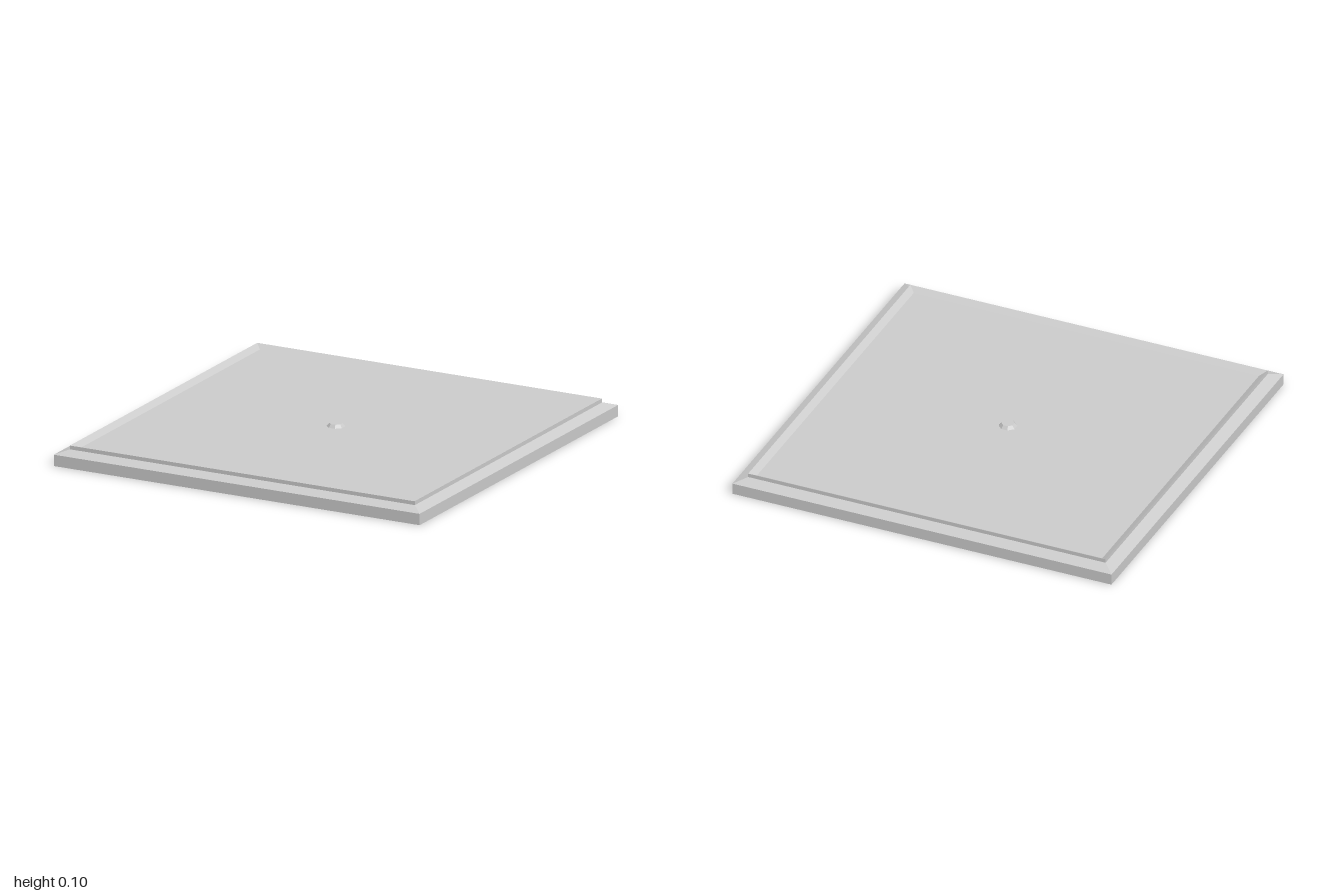
import * as THREE from 'three';

const material = new THREE.MeshStandardMaterial({ color: 0xcccccc, flatShading: true });

// Square solid swept from a profile of [half width, height], bottom to top
function squareLathe(profile) {
  const points = profile.map(([half, y]) => new THREE.Vector2(half * Math.SQRT2, y));
  return new THREE.LatheGeometry(points, 4, Math.PI / 4).toNonIndexed();
}

function addPart(group, name, geometry) {
  geometry.computeVertexNormals();
  const mesh = new THREE.Mesh(geometry, material);
  mesh.name = name;
  group.add(mesh);
  return mesh;
}

export function createModel() {
  const group = new THREE.Group();
  group.name = 'squareTray';

  const floorY = 0.076;

  // Slab with bevelled shoulder, raised rim and recessed floor
  addPart(group, 'slab', squareLathe([
    [0, 0], [1, 0], [1, 0.057],       // underside and side walls
    [0.943, 0.077], [0.943, 0.096],   // shoulder and outer rim wall
    [0.911, floorY], [0, floorY],     // inner rim slope and floor
  ]));

  // Small faceted stud in the middle of the floor
  const studHeight = 0.016;
  const stud = addPart(group, 'centreStud',
    new THREE.CylinderGeometry(0.032, 0.045, studHeight, 8).toNonIndexed());
  stud.position.y = floorY + studHeight / 2;
  stud.rotation.y = Math.PI / 8;

  return group;
}
